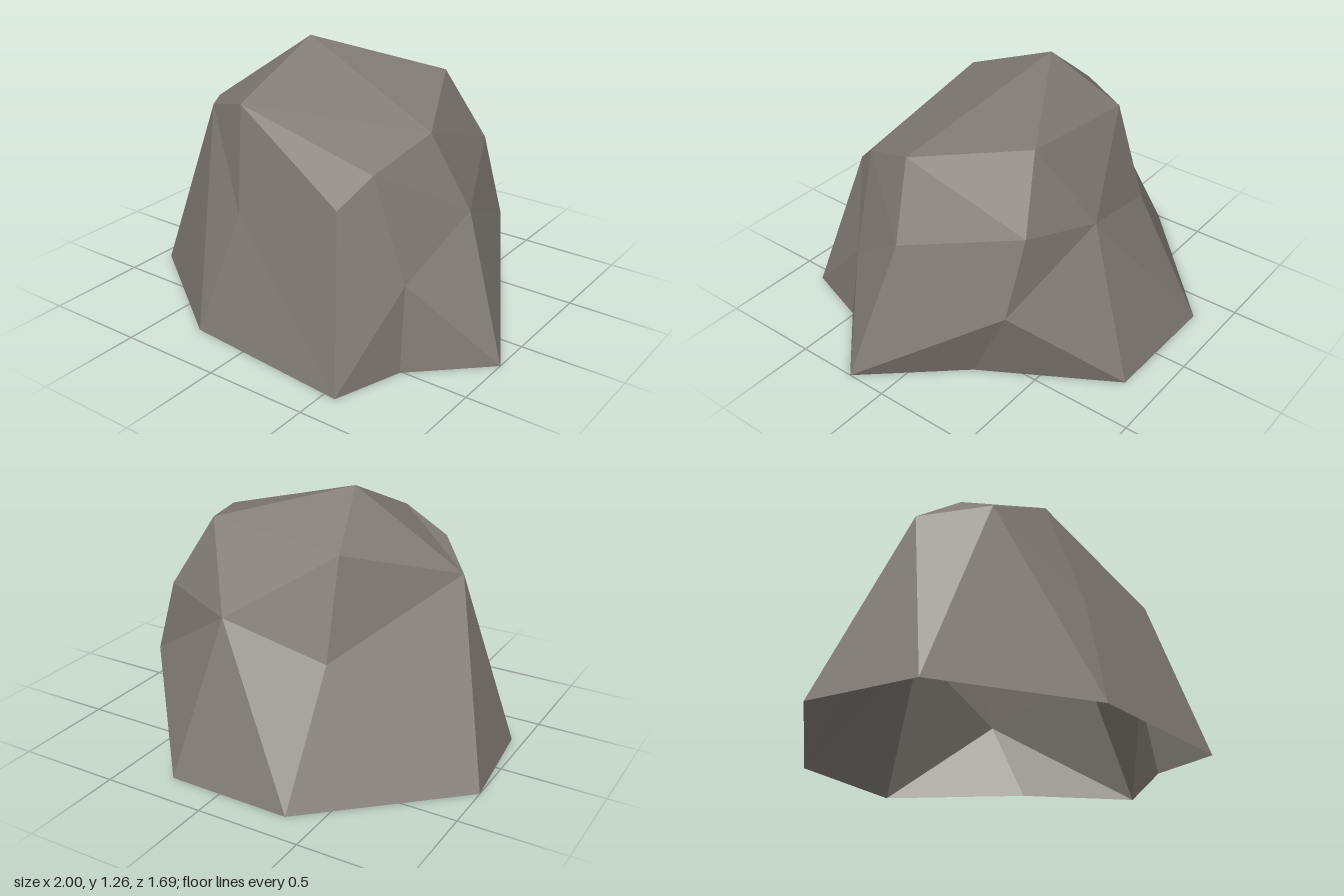
import * as THREE from 'three';

// Faceted boulder: an open shell made of triangle fans around hub corners.
export function createModel() {
  const stone = new THREE.MeshStandardMaterial({ color: 0x7f7973, flatShading: true, side: THREE.DoubleSide });
  stone.name = 'warm grey stone';

  // ground outline (x, z), counter-clockwise seen from above
  const base = [
    [1.0, 0.2], [0.62, -0.23], [0.26, -0.84], [-0.35, -0.85], [-1.0, -0.25],
    [-0.94, 0.29], [-0.29, 0.76], [0.56, 0.84], [0.67, 0.51],
  ].map(([x, z]) => [x, 0, z]);
  const [east, eastNotch, backLeft, backRight, west, westFront, frontRight, frontLeft, frontNotch] = base;

  // corners halfway up
  const frontMid = [-0.16, 0.57, 0.6];
  const cornerMid = [0.65, 0.4, 0.45];
  const eastMid = [0.75, 0.65, 0.09];
  const overhang = [0.63, 0.41, -0.43];
  const backMid = [0.15, 0.72, -0.57];
  const backRightMid = [-0.35, 0.58, -0.5];

  // shoulder and crown corners
  const peak = [-0.23, 1.26, -0.035];
  const westShoulder = [-0.73, 0.89, 0.08];
  const frontWest = [-0.52, 0.96, 0.35];
  const frontTop = [-0.25, 1.045, 0.46];
  const frontEast = [0.49, 0.88, 0.47];
  const frontCorner = [0.41, 0.75, 0.62];
  const eastTop = [0.58, 1.0, 0.16];
  const backTop = [0.33, 1.11, -0.36];
  const backEast = [0.51, 0.78, -0.45];
  const backWest = [-0.33, 1.04, -0.36];

  const positions = [];
  const fan = (hub, ...rim) => {
    for (let i = 0; i < rim.length - 1; i++) positions.push(...hub, ...rim[i], ...rim[i + 1]);
  };

  // front wall
  fan(frontMid, frontWest, frontRight, frontLeft, frontCorner, frontTop, frontWest);
  fan(frontTop, frontCorner, frontEast);
  fan(frontWest, westFront, frontRight);
  // notched front corner
  fan(cornerMid, eastMid, frontEast, frontCorner, frontLeft, frontNotch, east, eastMid);
  // west shoulder
  fan(westShoulder, peak, backWest, backRightMid, west, westFront, frontWest, frontTop, peak);
  // east crown
  fan(eastTop, peak, frontTop, frontEast, eastMid, backEast, backTop, peak);
  // overhang on the east side
  fan(overhang, eastMid, east, eastNotch, backLeft, backMid, backEast, eastMid);
  // back wall and rear of the crown
  fan(backMid, backLeft, backRight, backRightMid, backWest, backTop, backEast);
  fan(peak, backTop, backWest);
  fan(backRightMid, backRight, west);

  const geometry = new THREE.BufferGeometry();
  geometry.setAttribute('position', new THREE.Float32BufferAttribute(positions, 3));
  geometry.computeVertexNormals();

  const boulder = new THREE.Mesh(geometry, stone);
  boulder.name = 'boulder';
  const group = new THREE.Group();
  group.name = 'rock';
  group.add(boulder);
  return group;
}
